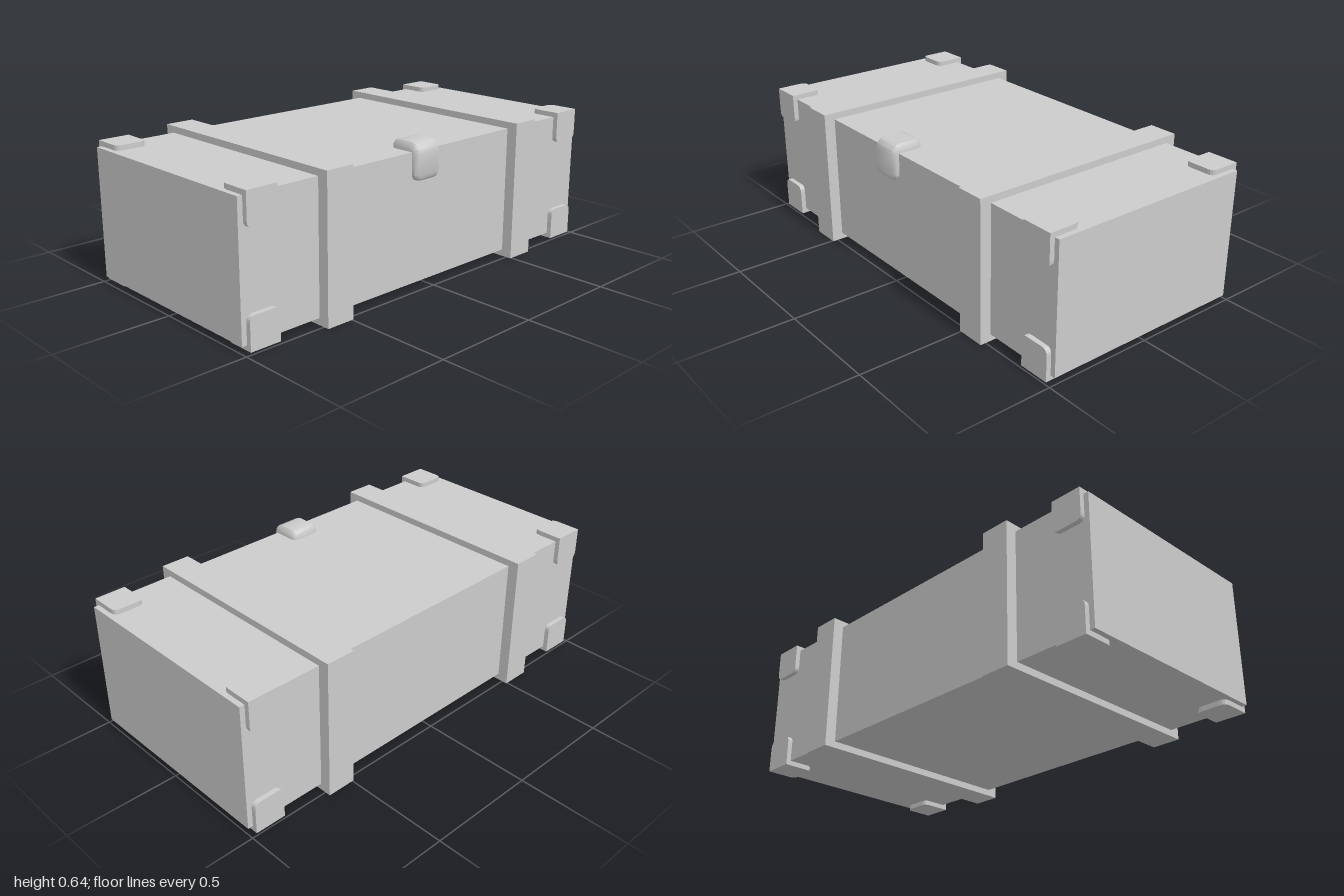
import * as THREE from 'three';
import { mergeGeometries, toCreasedNormals } from 'three/addons/utils/BufferGeometryUtils.js';

const material = new THREE.MeshStandardMaterial({ color: 0xcccccc });
const MID_Y = 0.315;

function addMesh(parent, name, geometry) {
  const mesh = new THREE.Mesh(geometry, material);
  mesh.name = name;
  parent.add(mesh);
  return mesh;
}

// Flat plate hanging down from y = 0, with its two lower corners rounded
function plate(width, length, depth, r) {
  const w = width / 2;
  const s = new THREE.Shape();
  s.moveTo(-w, 0);
  s.lineTo(-w, -length + r);
  s.quadraticCurveTo(-w, -length, -w + r, -length);
  s.lineTo(w - r, -length);
  s.quadraticCurveTo(w, -length, w, -length + r);
  s.lineTo(w, 0);
  return new THREE.ExtrudeGeometry(s, { depth, bevelEnabled: false, curveSegments: 4 });
}

// L-shaped bracket over the front top edge, measured from mid height
function bracketGeometry() {
  const front = plate(0.14, 0.142, 0.022, 0.028).translate(0, 0.622 - MID_Y, 0.475);
  const top = plate(0.14, 0.12, 0.022, 0.028).rotateX(Math.PI / 2).translate(0, 0.622 - MID_Y, 0.475);
  return mergeGeometries([front, top]);
}

// Soft-edged clasp: cross-sections swept over the front top edge
function claspGeometry() {
  // each station: inner z, inner y, outer z, outer y, half width
  const stations = [
    [0.355, 0.595, 0.357, 0.622, 0.052],
    [0.362, 0.595, 0.364, 0.631, 0.064],
    [0.38, 0.595, 0.38, 0.638, 0.071],
    [0.455, 0.595, 0.46, 0.638, 0.071],
    [0.468, 0.593, 0.482, 0.631, 0.071],
    [0.47, 0.588, 0.498, 0.614, 0.071],
    [0.47, 0.575, 0.504, 0.59, 0.071],
    [0.47, 0.505, 0.504, 0.505, 0.071],
    [0.47, 0.487, 0.5, 0.487, 0.064],
    [0.47, 0.48, 0.494, 0.48, 0.052],
  ];
  // each section point: share of the half width, share of the thickness
  const section = [[-1, 0], [-1, 0.6], [-0.8, 1], [0.8, 1], [1, 0.6], [1, 0]];
  const n = section.length;
  const last = (stations.length - 1) * n;
  const positions = [];
  const index = [];
  for (const [iz, iy, oz, oy, w] of stations) {
    for (const [u, t] of section) positions.push(u * w, iy + (oy - iy) * t, iz + (oz - iz) * t);
  }
  for (let i = 0; i < stations.length - 1; i++) {
    for (let j = 0; j < n; j++) {
      const a = i * n + j;
      const b = i * n + ((j + 1) % n);
      index.push(a, a + n, b, b, a + n, b + n);
    }
  }
  // end caps
  for (let j = 1; j < n - 1; j++) {
    index.push(0, j, j + 1);
    index.push(last, last + j + 1, last + j);
  }
  const g = new THREE.BufferGeometry();
  g.setAttribute('position', new THREE.Float32BufferAttribute(positions, 3));
  g.setIndex(index);
  return toCreasedNormals(g, 0.85);
}

export function createModel() {
  const model = new THREE.Group();
  model.name = 'storageCase';

  addMesh(model, 'caseBody', new THREE.BoxGeometry(2, 0.57, 0.95)).position.y = MID_Y;

  // raised bands around the case
  const band = new THREE.BoxGeometry(0.132, 0.63, 1.05);
  for (const [side, x] of [['left', 0.56], ['right', -0.56]]) {
    addMesh(model, side + 'Band', band).position.set(x, MID_Y, 0);
  }

  // eight edge brackets, turned to each long edge
  const bracket = bracketGeometry();
  const edges = [
    ['FrontTop', 0, 0, 0],
    ['BackTop', 0, Math.PI, 0],
    ['FrontBottom', 0, 0, Math.PI],
    ['BackBottom', Math.PI, 0, 0],
  ];
  for (const [side, x] of [['left', 0.907], ['right', -0.907]]) {
    for (const [edge, rx, ry, rz] of edges) {
      const mesh = addMesh(model, side + edge + 'Bracket', bracket);
      mesh.position.set(x, MID_Y, 0);
      mesh.rotation.set(rx, ry, rz);
    }
  }

  addMesh(model, 'frontClasp', claspGeometry()).position.x = -0.05;
  return model;
}
